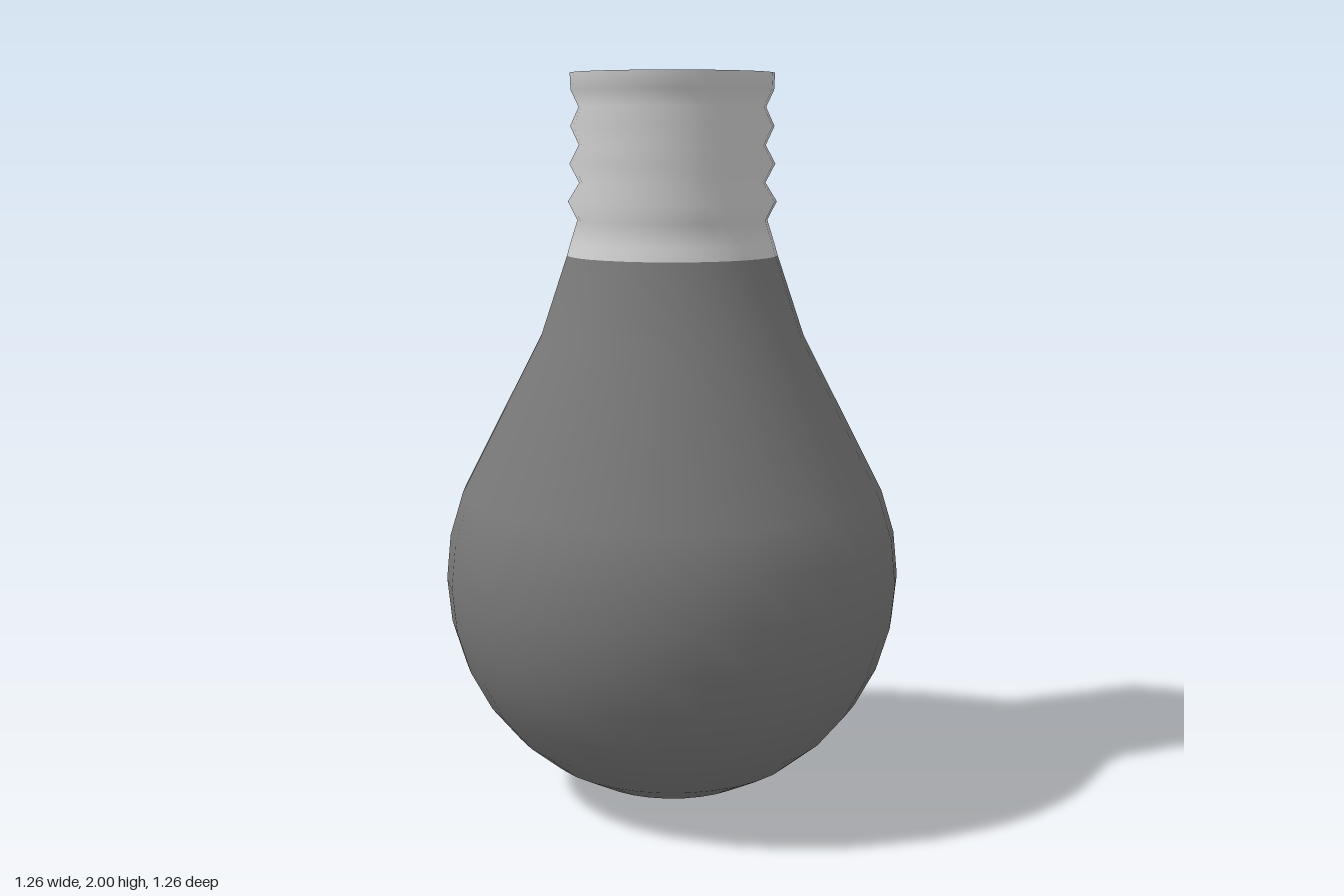
import * as THREE from 'three';

const SIDES = 32;

// Revolves a bottom-to-top list of [radius, height] pairs
function turned(name, profile, material) {
  const points = profile.map(([r, y]) => new THREE.Vector2(r, y));
  const mesh = new THREE.Mesh(new THREE.LatheGeometry(points, SIDES), material);
  mesh.name = name;
  return mesh;
}

export function createModel() {
  const group = new THREE.Group();
  group.name = 'lightBulb';
  const metal = new THREE.MeshStandardMaterial({ color: 0xcccccc, side: THREE.DoubleSide });
  const glass = new THREE.MeshStandardMaterial({ color: 0x777777, side: THREE.DoubleSide });

  // Glass: round bowl, then a straight taper into the neck
  const R = 0.628;
  const bowl = [];
  for (let i = 0; i <= 10; i++) {
    const a = (i * Math.PI) / 16;
    bowl.push([R * Math.sin(a), R - R * Math.cos(a)]);
  }
  group.add(turned('glassBulb', [...bowl, [0.36, 1.297], [0.287, 1.515]], glass));

  // Screw cap: flared collar, three ridges and a straight top band
  const cap = [[0.287, 1.515], [0.277, 1.55], [0.258, 1.61]];
  [0.283, 0.278, 0.275].forEach((r, i) => {
    const y = 1.66 + i * 0.1;
    cap.push([r, y], [0.252, y + 0.05]);
  });
  cap.push([0.273, 1.955], [0.275, 2]);
  group.add(turned('screwCap', cap, metal));

  // Rolled rim dipping into a groove around the contact
  group.add(turned('capRim', [
    [0.275, 2], [0.262, 1.998], [0.245, 1.985], [0.23, 1.975], [0.217, 1.98], [0.208, 1.998],
  ], metal));

  // Flat contact disc on top
  const contact = new THREE.Mesh(new THREE.CircleGeometry(0.208, SIDES), metal);
  contact.rotation.x = -Math.PI / 2;
  contact.position.y = 1.998;
  contact.name = 'contactDisc';
  group.add(contact);

  return group;
}
